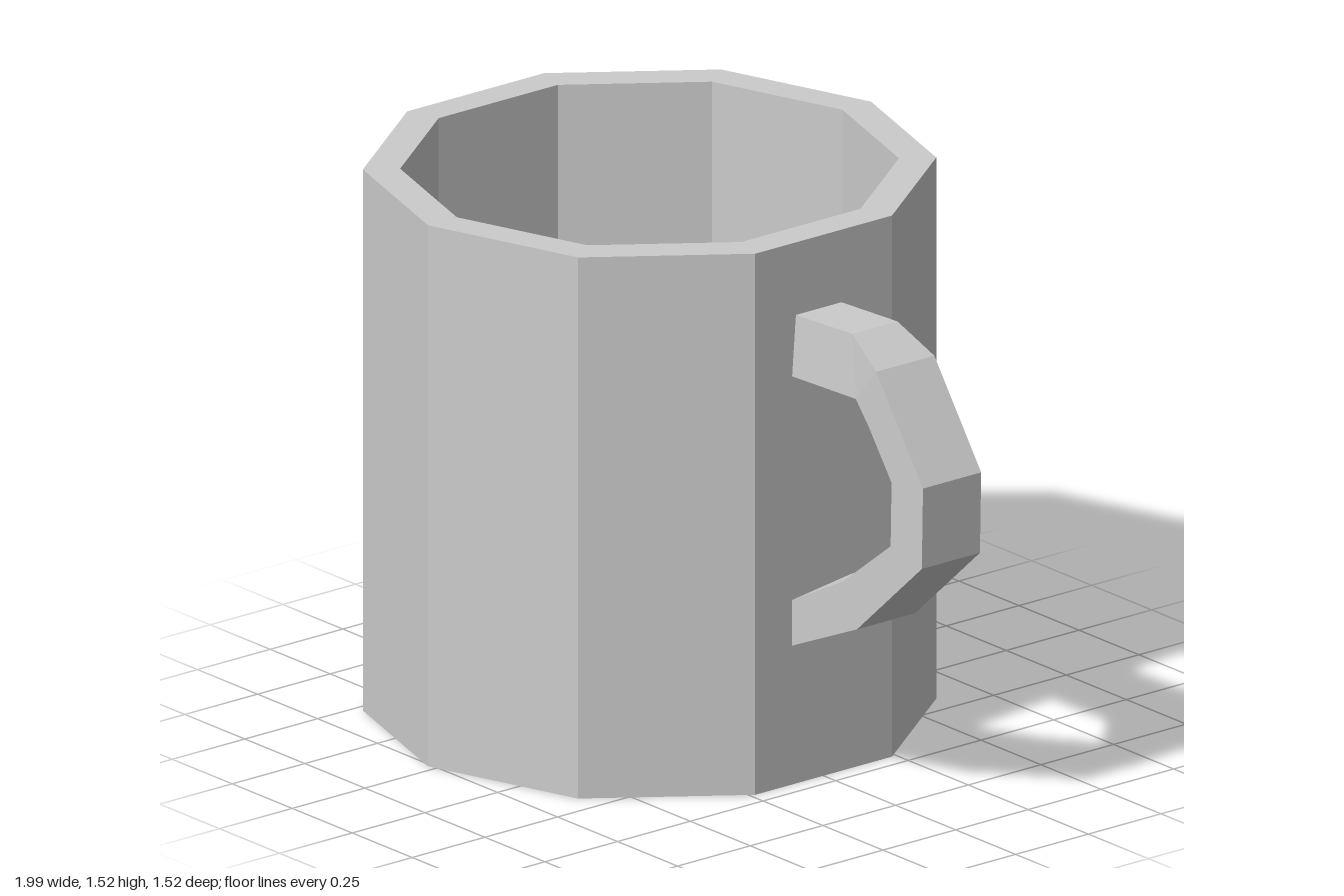
import * as THREE from 'three';

const grey = () => new THREE.MeshStandardMaterial({ color: 0xcccccc, flatShading: true });

// Sweep four-cornered rings into a closed, flat-shaded bar
function barFromRings(rings) {
  const pos = [];
  const quad = (a, b, c, d) => pos.push(...a, ...b, ...c, ...a, ...c, ...d);
  for (let i = 0; i < rings.length - 1; i++) {
    const p = rings[i], q = rings[i + 1];
    for (let k = 0; k < 4; k++) {
      const n = (k + 1) % 4;
      quad(p[k], q[k], q[n], p[n]);
    }
  }
  const first = rings[0], last = rings[rings.length - 1];
  quad(first[0], first[1], first[2], first[3]);
  quad(last[3], last[2], last[1], last[0]);
  const geo = new THREE.BufferGeometry();
  geo.setAttribute('position', new THREE.Float32BufferAttribute(pos, 3));
  geo.computeVertexNormals();
  return geo;
}

export function createModel() {
  const model = new THREE.Group();
  model.name = 'mug';

  // Ten-sided cup: base, outer wall, rim, inner wall, inner floor
  const profile = [[0, 0], [0.762, 0], [0.762, 1.525], [0.663, 1.525], [0.663, 0.1], [0, 0.1]]
    .map(([r, y]) => new THREE.Vector2(r, y));
  const cupGeo = new THREE.LatheGeometry(profile, 10).toNonIndexed();
  cupGeo.computeVertexNormals();
  const cup = new THREE.Mesh(cupGeo, grey());
  cup.name = 'cup';
  cup.position.x = -0.275;
  model.add(cup);

  // Handle stations, top to bottom:
  // outer x, y | inner front x, y | inner back x, y | outer front z, outer back z
  const stations = [
    [0.44, 1.32, 0.44, 1.15, 0.44, 1.15, 0.095, -0.062],
    [0.685, 1.332, 0.715, 1.16, 0.685, 1.16, 0.095, -0.06],
    [0.8, 1.26, 0.77, 1.095, 0.742, 1.09, 0.108, -0.092],
    [0.995, 0.985, 0.864, 0.965, 0.843, 0.965, 0.108, -0.092],
    [0.99, 0.757, 0.86, 0.785, 0.837, 0.795, 0.108, -0.092],
    [0.72, 0.512, 0.66, 0.63, 0.66, 0.655, 0.108, -0.092],
    [0.44, 0.387, 0.44, 0.515, 0.44, 0.542, 0.108, -0.092],
  ];
  const rings = stations.map(([ox, oy, fx, fy, bx, by, zf, zb]) => [
    [ox, oy, zf], [ox, oy, zb], [bx, by, -0.092], [fx, fy, 0.108],
  ]);
  const handle = new THREE.Mesh(barFromRings(rings), grey());
  handle.name = 'handle';
  model.add(handle);

  return model;
}
